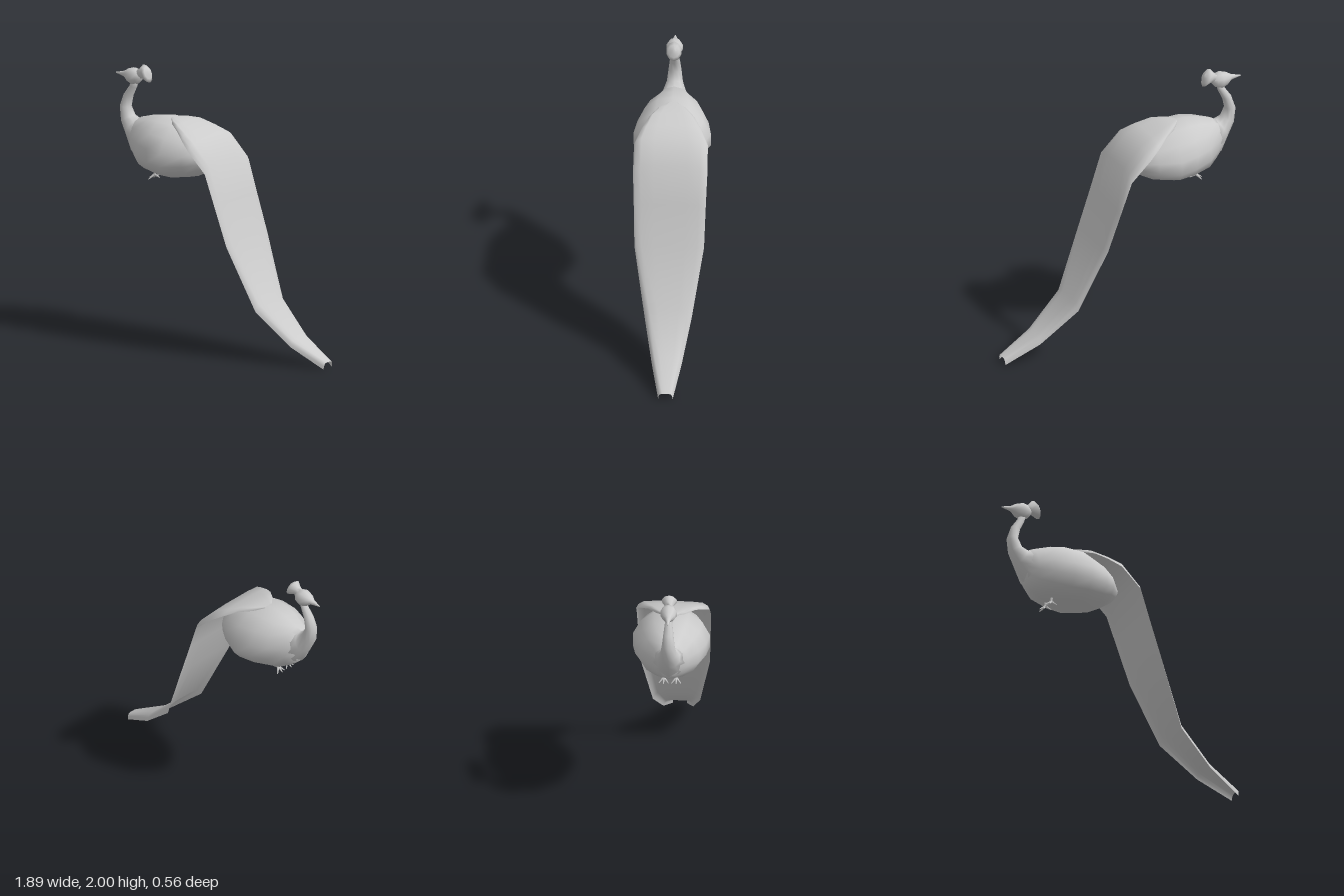
import * as THREE from 'three';

const material = new THREE.MeshStandardMaterial({ color: 0xcccccc });
const thin = new THREE.MeshStandardMaterial({ color: 0xcccccc, side: THREE.DoubleSide });

// Skins a list of rings; closed rings wrap round and get end caps.
function skin(rings, closed) {
  const n = rings[0].length, pos = rings.flat(2), index = [];
  const steps = closed ? n : n - 1;
  for (let i = 0; i < rings.length - 1; i++) {
    for (let j = 0; j < steps; j++) {
      const a = i * n + j, b = i * n + (j + 1) % n;
      index.push(a, b, a + n, b, b + n, a + n);
    }
  }
  if (closed) {
    const last = (rings.length - 1) * n;
    for (let j = 1; j < n - 1; j++) {
      index.push(0, j + 1, j, last, last + j, last + j + 1);
    }
  }
  const g = new THREE.BufferGeometry();
  g.setAttribute('position', new THREE.Float32BufferAttribute(pos, 3));
  g.setIndex(index);
  g.computeVertexNormals();
  return g;
}

// Each section: upper point (ax, ay), lower point (bx, by), half width in z,
// and how far up from the lower point the widest line sits.
function loft(sections, sides) {
  return skin(sections.map(([ax, ay, bx, by, w, mid = 0.5]) => {
    const ring = [];
    for (let j = 0; j < sides; j++) {
      const t = (j / sides) * Math.PI * 2, c = Math.cos(t);
      const f = c > 0 ? mid + (1 - mid) * c : mid + mid * c;
      ring.push([bx + (ax - bx) * f, by + (ay - by) * f, w * Math.sin(t)]);
    }
    return ring;
  }), true);
}

function add(parent, name, geometry, mat = material) {
  const mesh = new THREE.Mesh(geometry, mat);
  mesh.name = name;
  parent.add(mesh);
  return mesh;
}

// Tapered rod between two points
function rod(parent, name, from, to, r0, r1) {
  const a = new THREE.Vector3(...from), d = new THREE.Vector3(...to).sub(a);
  const mesh = add(parent, name, new THREE.CylinderGeometry(r1, r0, d.length(), 6));
  mesh.position.copy(a).addScaledVector(d, 0.5);
  mesh.quaternion.setFromUnitVectors(new THREE.Vector3(0, 1, 0), d.normalize());
}

export function createModel() {
  const bird = new THREE.Group();
  bird.name = 'bird';

  add(bird, 'body', loft([
    [-0.78, 1.57, -0.77, 1.35, 0.085],
    [-0.72, 1.61, -0.70, 1.285, 0.14, 0.48],
    [-0.60, 1.645, -0.63, 1.245, 0.215, 0.44],
    [-0.50, 1.66, -0.48, 1.222, 0.262, 0.4],
    [-0.35, 1.65, -0.36, 1.224, 0.285, 0.37],
    [-0.20, 1.585, -0.21, 1.25, 0.222, 0.42],
    [-0.11, 1.515, -0.13, 1.29, 0.165, 0.48],
    [-0.04, 1.43, -0.06, 1.335, 0.08],
  ], 14));

  add(bird, 'neck', loft([
    [-0.77, 1.345, -0.62, 1.6, 0.13],
    [-0.83, 1.46, -0.75, 1.59, 0.085],
    [-0.885, 1.56, -0.79, 1.61, 0.06],
    [-0.90, 1.67, -0.82, 1.67, 0.048],
    [-0.87, 1.76, -0.80, 1.75, 0.038],
    [-0.82, 1.83, -0.765, 1.82, 0.028],
    [-0.80, 1.88, -0.75, 1.87, 0.025],
  ], 10));

  // Head with the pointed beak running out in front
  add(bird, 'head', loft([
    [-0.945, 1.907, -0.945, 1.899, 0.004],
    [-0.90, 1.919, -0.90, 1.891, 0.014],
    [-0.87, 1.927, -0.865, 1.884, 0.024],
    [-0.835, 1.95, -0.83, 1.855, 0.048],
    [-0.79, 1.965, -0.785, 1.838, 0.062],
    [-0.75, 1.955, -0.745, 1.85, 0.052],
    [-0.72, 1.93, -0.715, 1.885, 0.025],
  ], 10));

  add(bird, 'crest', loft([
    [-0.765, 1.95, -0.73, 1.888, 0.03],
    [-0.735, 1.965, -0.70, 1.895, 0.035],
    [-0.705, 2.0, -0.642, 1.873, 0.056],
    [-0.68, 1.987, -0.642, 1.90, 0.042],
    [-0.658, 1.965, -0.648, 1.935, 0.012],
  ], 10));

  // Long train: an arched sheet. Each row: ridge x, y, edge x, y, half width.
  const train = [
    [-0.43, 1.66, -0.42, 1.64, 0.04],
    [-0.38, 1.657, -0.37, 1.63, 0.105],
    [-0.30, 1.646, -0.28, 1.607, 0.17],
    [-0.20, 1.605, -0.20, 1.56, 0.222],
    [-0.10, 1.56, -0.11, 1.50, 0.265],
    [0.04, 1.41, 0.04, 1.355, 0.267],
    [0.13, 1.14, 0.125, 1.11, 0.258],
    [0.235, 0.855, 0.22, 0.84, 0.25],
    [0.425, 0.435, 0.42, 0.375, 0.17],
    [0.69, 0.19, 0.69, 0.14, 0.107],
    [0.945, 0.05, 0.94, 0.003, 0.052],
  ];
  const arch = [[1, 0], [0.94, 0.5], [0.8, 0.88], [0.45, 1], [0, 1],
    [-0.45, 1], [-0.8, 0.88], [-0.94, 0.5], [-1, 0]];
  add(bird, 'train', skin(train.map(([rx, ry, ex, ey, w]) =>
    arch.map(([z, f]) => [ex + (rx - ex) * f, ey + (ry - ey) * f, -z * w])), false), thin);

  // Small feet with three front toes and one back toe
  for (const side of [-1, 1]) {
    const foot = new THREE.Group();
    foot.name = side > 0 ? 'frontFoot' : 'backFoot';
    foot.position.set(-0.57, 1.21, side * 0.045);
    rod(foot, 'shank', [0.005, 0.07, 0], [0, 0, 0], 0.011, 0.01);
    for (const [x, y, z] of [[-0.045, -0.025, 0], [-0.03, -0.03, 0.035],
      [-0.03, -0.03, -0.035], [0.048, -0.012, 0]]) {
      rod(foot, 'toe', [0, 0.004, 0], [x, y, z], 0.01, 0.003);
    }
    bird.add(foot);
  }
  return bird;
}
